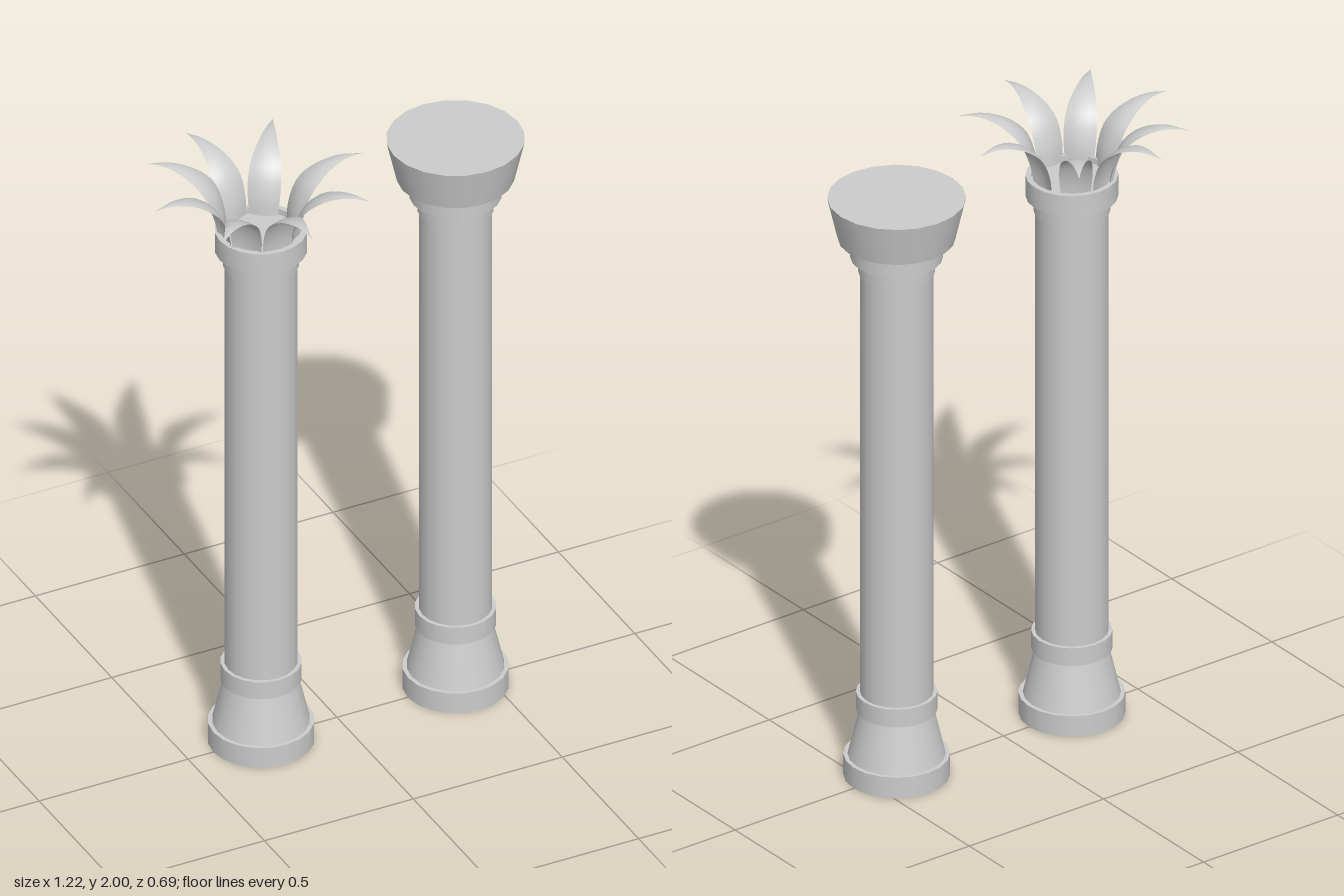
import * as THREE from 'three';
import { toCreasedNormals } from 'three/addons/utils/BufferGeometryUtils.js';

const material = new THREE.MeshStandardMaterial({ color: 0xcccccc });
const leafMaterial = new THREE.MeshStandardMaterial({ color: 0xcccccc, side: THREE.DoubleSide });
const SIDES = 20;

function addMesh(parent, name, geometry, mat = material) {
  const mesh = new THREE.Mesh(geometry, mat);
  mesh.name = name;
  parent.add(mesh);
  return mesh;
}

// Round section between two heights
function addSection(parent, name, y0, y1, r0, r1 = r0) {
  const geometry = new THREE.CylinderGeometry(r1, r0, y1 - y0, SIDES);
  addMesh(parent, name, geometry).position.y = (y0 + y1) / 2;
}

function createColumn(name, x) {
  const column = new THREE.Group();
  column.name = name;
  column.position.x = x;
  addSection(column, 'plinth', 0, 0.07, 0.16);
  addSection(column, 'flaredBase', 0.07, 0.22, 0.147, 0.112);
  addSection(column, 'baseRing', 0.22, 0.28, 0.122);
  addSection(column, 'shaft', 0.28, 1.7, 0.11);
  addSection(column, 'neckRing', 1.7, 1.75, 0.115);
  return column;
}

// Leaf arching out along +x: rows across a curved spine, edges drooping slightly
function createLeafGeometry() {
  const spine = new THREE.CatmullRomCurve3([
    [0.105, 1.79], [0.114, 1.86], [0.145, 1.935], [0.205, 1.982], [0.28, 2.0], [0.347, 1.99],
  ].map(([x, y]) => new THREE.Vector3(x, y, 0)));
  const halfWidth = new THREE.SplineCurve([
    [0, 0.042], [0.2, 0.048], [0.4, 0.05], [0.6, 0.044], [0.8, 0.029], [0.93, 0.013], [1, 0.001],
  ].map(([t, w]) => new THREE.Vector2(t, w)));
  const rows = 16, cols = 4;
  const geometry = new THREE.PlaneGeometry(1, 1, cols, rows);
  const pos = geometry.attributes.position;
  for (let i = 0; i <= rows; i++) {
    const t = i / rows;
    const p = spine.getPoint(t);
    const tangent = spine.getTangent(t);
    const w = halfWidth.getPoint(t);
    for (let j = 0; j <= cols; j++) {
      const s = (j / cols) * 2 - 1;
      const droop = 0.2 * w.y * s * s;
      pos.setXYZ(i * (cols + 1) + j, p.x + tangent.y * droop, p.y - tangent.x * droop, -s * w.y);
    }
  }
  geometry.computeVertexNormals();
  return geometry;
}

export function createModel() {
  const model = new THREE.Group();
  model.name = 'columnPair';

  // Column topped with a crown of leaves
  const leafColumn = createColumn('leafColumn', -0.255);
  model.add(leafColumn);
  const rim = [[0, 1.75], [0.139, 1.75], [0.139, 1.82], [0.122, 1.82], [0.122, 1.8], [0, 1.8]]
    .map(([r, y]) => new THREE.Vector2(r, y));
  addMesh(leafColumn, 'hollowCollar', toCreasedNormals(new THREE.LatheGeometry(rim, SIDES), 0.6));
  const crown = new THREE.Group();
  crown.name = 'leafCrown';
  crown.position.x = -0.007;
  leafColumn.add(crown);
  const leafGeometry = createLeafGeometry();
  for (const degrees of [0, 45, 90, 135, 180, 224, 258, 304]) {
    addMesh(crown, 'leaf', leafGeometry, leafMaterial).rotation.y = -THREE.MathUtils.degToRad(degrees);
  }

  // Column topped with a flared capital
  const plainColumn = createColumn('plainColumn', 0.398);
  model.add(plainColumn);
  addSection(plainColumn, 'collar', 1.75, 1.82, 0.139);
  addSection(plainColumn, 'flaredCapital', 1.815, 1.95, 0.177, 0.208);

  return model;
}
